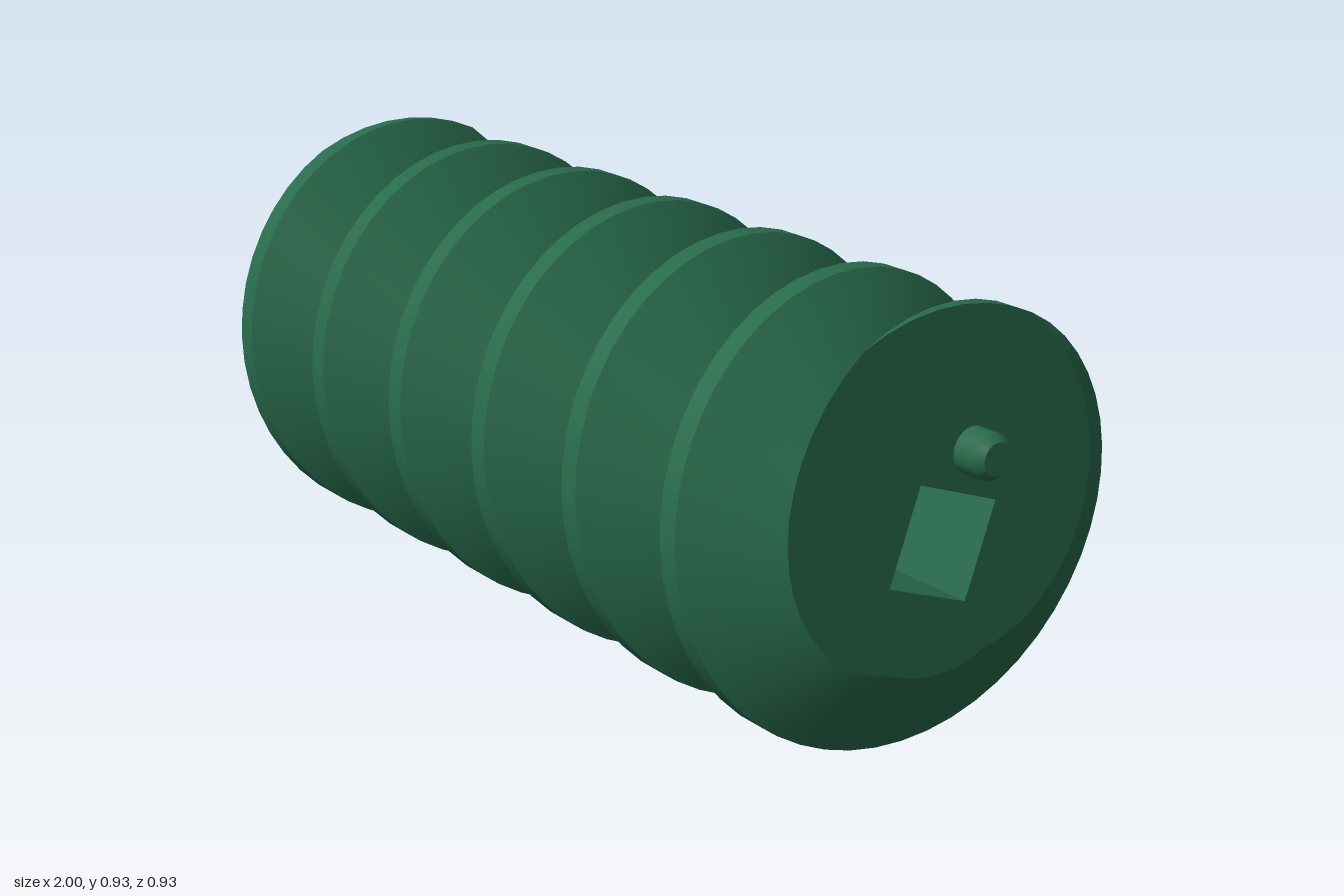
import * as THREE from 'three';
import { mergeGeometries } from 'three/addons/utils/BufferGeometryUtils.js';

const X0 = -1, X1 = 0.93, TURNS = 6, N = 48;       // thread length, turns, steps per turn
const CREST = 0.466, ROOT = 0.267, AXIS_Y = 0.467;
const STEP = Math.PI * 2 / N;
const FLAT = 7, FLANK = 17;                        // steps on crest/root and on each flank
const HOLE_R = 0.144, HOLE_TURN = THREE.MathUtils.degToRad(25);
const PIN = { y: 0.175, z: -0.065 };

// The cross-section is the same all along the screw, only turned
function radius(j) {
  if (j <= FLAT) return CREST;
  if (j <= FLAT + FLANK) return THREE.MathUtils.lerp(CREST, ROOT, (j - FLAT) / FLANK);
  if (j <= 2 * FLAT + FLANK) return ROOT;
  return THREE.MathUtils.lerp(ROOT, CREST, (j - 2 * FLAT - FLANK) / FLANK);
}
const angle = j => (j - FLAT / 2) * STEP;

// One helical band of the thread between two steps of the cross-section
function band(from, to) {
  const pos = [], index = [], cols = to - from + 1, rows = TURNS * N;
  for (let k = 0; k <= rows; k++) {
    for (let j = from; j <= to; j++) {
      const a = angle(j) + k * STEP, r = radius(j);
      pos.push(X0 + (X1 - X0) * k / rows, r * Math.cos(a), r * Math.sin(a));
      if (k < rows && j < to) {
        const p = k * cols + j - from, q = p + cols;
        index.push(p, p + 1, q, p + 1, q + 1, q);
      }
    }
  }
  const g = new THREE.BufferGeometry();
  g.setAttribute('position', new THREE.Float32BufferAttribute(pos, 3));
  g.setIndex(index);
  g.computeVertexNormals();
  return g;
}

// Flat end face, side +1 for right, -1 for left
function endFace(side, withSocket) {
  const pts = [];
  for (let j = 0; j < N; j++) {
    const a = angle(j), r = radius(j);
    pts.push(new THREE.Vector2(-side * r * Math.sin(a), r * Math.cos(a)));
  }
  const shape = new THREE.Shape(pts);
  const corners = [0, 1, 2, 3].map(i => {
    const a = HOLE_TURN + i * Math.PI / 2;
    return new THREE.Vector2(-side * HOLE_R * Math.sin(a), HOLE_R * Math.cos(a));
  });
  shape.holes.push(new THREE.Path(corners));
  if (withSocket) {
    shape.holes.push(new THREE.Path().absarc(-side * PIN.z, PIN.y, 0.05, 0, Math.PI * 2, true));
  }
  return new THREE.ShapeGeometry(shape, 12).rotateY(side * Math.PI / 2)
    .translate(side > 0 ? X1 : X0, 0, 0);
}

// Faceted lathe along x from [radius, x] points
function latheX(points) {
  const g = new THREE.LatheGeometry(points.map(p => new THREE.Vector2(...p)), 24);
  return g.rotateZ(-Math.PI / 2).translate(0, PIN.y, PIN.z);
}

export function createModel() {
  const group = new THREE.Group();
  group.name = 'wormScrew';
  group.position.y = AXIS_Y;
  const green = new THREE.MeshStandardMaterial({ color: 0x286a4c, side: THREE.DoubleSide });
  green.name = 'green';
  const add = (name, geometry) => {
    const mesh = new THREE.Mesh(geometry, green);
    mesh.name = name;
    group.add(mesh);
  };

  // Thread: crest, flank, root, flank
  const edges = [0, FLAT, FLAT + FLANK, 2 * FLAT + FLANK, N];
  add('thread', mergeGeometries(edges.slice(1).map((e, i) => band(edges[i], e))));

  add('rightEnd', endFace(1, false));
  add('leftEnd', endFace(-1, true));

  // Square bore right through
  const bore = new THREE.CylinderGeometry(HOLE_R, HOLE_R, X1 - X0, 4, 1, true).toNonIndexed();
  bore.computeVertexNormals();
  bore.rotateZ(-Math.PI / 2).rotateX(HOLE_TURN).translate((X0 + X1) / 2, 0, 0);
  add('squareBore', bore);

  // Locating pin on the right, matching socket on the left
  const pin = [[0.047, X1], [0.047, 0.985], [0.033, 1], [0, 1]];
  add('locatingPin', mergeGeometries(pin.slice(1).map((p, i) => latheX([pin[i], p]))));
  const socket = [[0, X0 + 0.08], [0.05, X0 + 0.08], [0.05, X0]];
  add('pinSocket', mergeGeometries(socket.slice(1).map((p, i) => latheX([socket[i], p]))));

  const model = new THREE.Group();
  model.name = 'model';
  model.add(group);
  return model;
}
